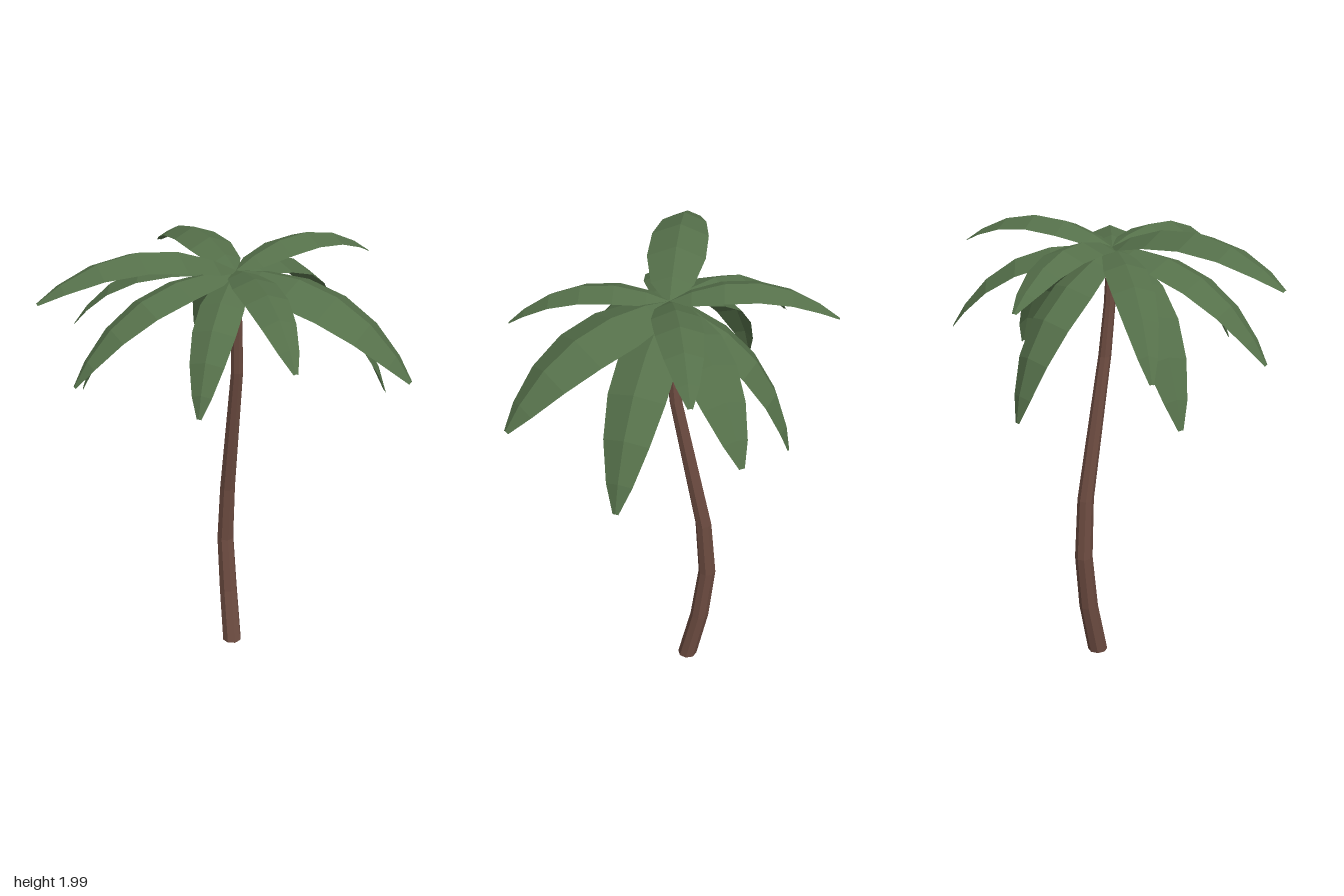
import * as THREE from 'three';

const CROWN = new THREE.Vector3(-0.03, 1.86, 0.02);

// Trunk rings from the ground up: y, x, z, radius
const RINGS = [
  [0, -0.09, -0.045, 0.043],
  [0.25, -0.127, -0.085, 0.041],
  [0.51, -0.15, -0.105, 0.038],
  [0.78, -0.132, -0.095, 0.035],
  [1.4, -0.042, -0.01, 0.027],
  [1.62, -0.033, 0.01, 0.024],
  [1.85, -0.03, 0.02, 0.021],
];

// Frond tips (x, y, z) and half width
const FRONDS = [
  [0.10, 1.49, -0.64, 0.115],
  [0.30, 1.80, -0.58, 0.095],
  [0.49, 1.27, -0.36, 0.12],
  [0.73, 1.53, 0.03, 0.155],
  [0.44, 1.70, 0.49, 0.09],
  [0.05, 1.44, 0.515, 0.09],
  [-0.45, 1.51, 0.60, 0.11],
  [-0.57, 1.85, 0.635, 0.12],
  [-0.63, 1.32, 0.26, 0.11],
  [-0.73, 1.55, 0.14, 0.085],
  [-0.59, 1.78, -0.36, 0.095],
  [-0.36, 1.24, -0.37, 0.11],
];

// Frond outline: position along the rib and share of the half width
const OUTLINE = [[0, 0.12], [0.12, 0.72], [0.3, 1], [0.5, 0.98], [0.7, 0.78], [0.88, 0.45], [1, 0.1]];

function trunkGeometry() {
  const n = RINGS.length - 1;
  const geo = new THREE.CylinderGeometry(1, 1, n, 8, n);
  const p = geo.attributes.position;
  for (let i = 0; i < p.count; i++) {
    const [y, x, z, r] = RINGS[Math.round(p.getY(i) + n / 2)];
    p.setXYZ(i, x + p.getX(i) * r, y, z + p.getZ(i) * r);
  }
  geo.computeVertexNormals();
  return geo;
}

// Arched leaf folded along its rib, reaching from the crown to the tip
function frondGeometry([tx, ty, tz, half]) {
  const chord = new THREE.Vector3(tx, ty, tz).sub(CROWN);
  const length = chord.length();
  const side = new THREE.Vector3(0, 1, 0).cross(chord).normalize();
  const up = chord.clone().cross(side).normalize();
  const n = OUTLINE.length - 1;
  const geo = new THREE.PlaneGeometry(2, n, 2, n);
  const p = geo.attributes.position;
  for (let i = 0; i < p.count; i++) {
    const [t, share] = OUTLINE[Math.round(n / 2 - p.getY(i))];
    const s = p.getX(i);
    const w = half * share;
    const lift = 0.17 * length * 4 * t * (1 - t) - Math.abs(s) * w * 0.4;
    const v = CROWN.clone().addScaledVector(chord, t).addScaledVector(side, s * w).addScaledVector(up, lift);
    p.setXYZ(i, v.x, v.y, v.z);
  }
  geo.computeVertexNormals();
  return geo;
}

export function createModel() {
  const model = new THREE.Group();
  model.name = 'palmTree';
  const bark = new THREE.MeshStandardMaterial({ color: 0x6d4c41, flatShading: true });
  const husk = new THREE.MeshStandardMaterial({ color: 0x7a5246, flatShading: true });
  const leaf = new THREE.MeshStandardMaterial({ color: 0x55704a, flatShading: true, side: THREE.DoubleSide });

  const add = (parent, name, geo, mat) => {
    const mesh = new THREE.Mesh(geo, mat);
    mesh.name = name;
    parent.add(mesh);
    return mesh;
  };

  add(model, 'trunk', trunkGeometry(), bark);

  // Crown of fronds
  const crown = new THREE.Group();
  crown.name = 'crown';
  model.add(crown);
  FRONDS.forEach((f, i) => add(crown, `frond${i + 1}`, frondGeometry(f), leaf));

  // Nuts clustered under the crown
  const nuts = new THREE.Group();
  nuts.name = 'nuts';
  model.add(nuts);
  for (let i = 0; i < 3; i++) {
    const a = Math.PI + (i * Math.PI * 2) / 3;
    const nut = add(nuts, `nut${i + 1}`, new THREE.SphereGeometry(0.034, 7, 5), husk);
    nut.position.set(CROWN.x + 0.055 * Math.cos(a), 1.785, CROWN.z + 0.055 * Math.sin(a));
  }
  return model;
}
